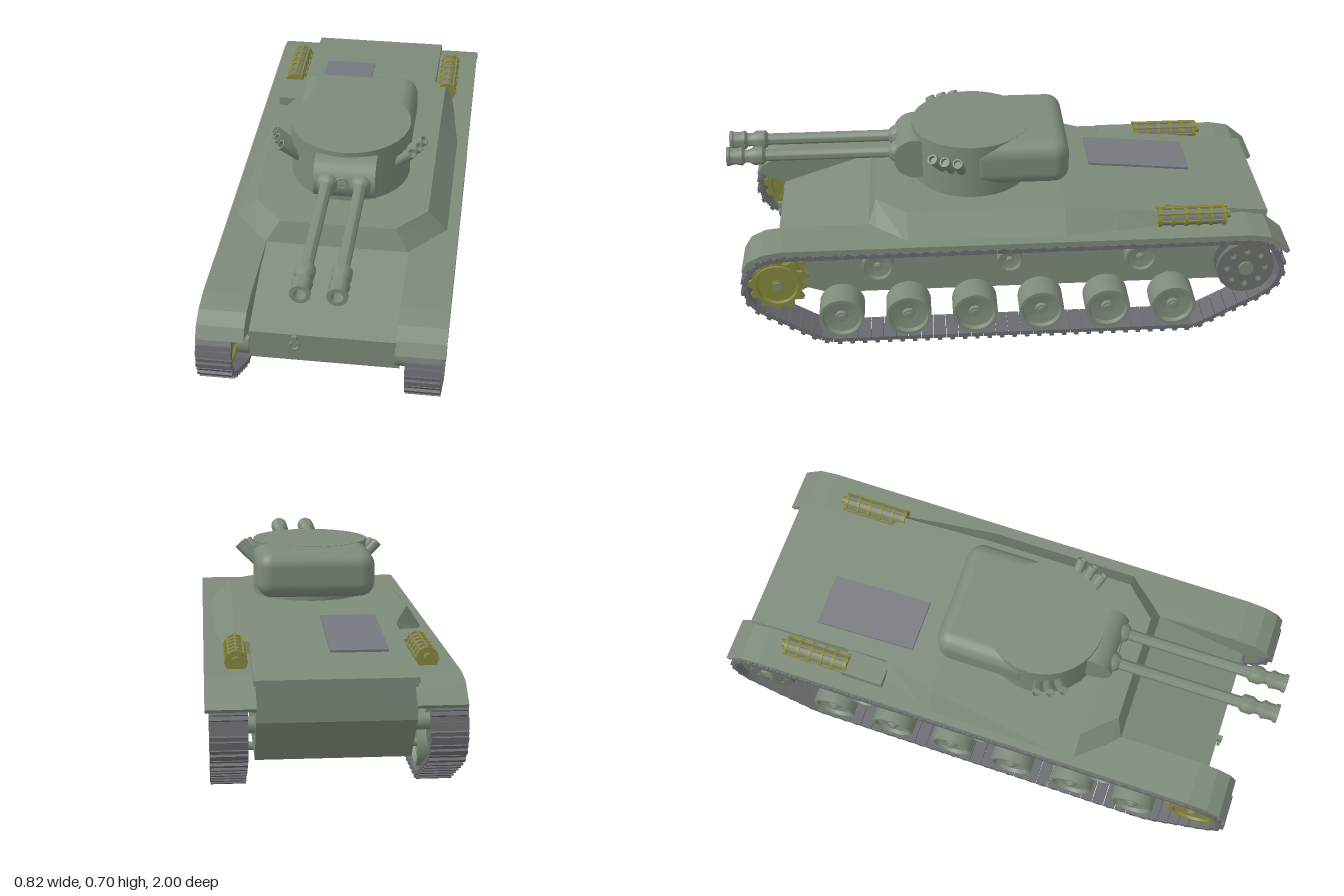
import * as THREE from 'three';
import { mergeGeometries, toCreasedNormals } from 'three/addons/utils/BufferGeometryUtils.js';
import { RoundedBoxGeometry } from 'three/addons/geometries/RoundedBoxGeometry.js';

const paint = (color, extra = {}) => new THREE.MeshStandardMaterial({ color, ...extra });
const green = paint(0x7d8b7a);
const greenFlat = paint(0x7d8b7a, { flatShading: true });
const steel = paint(0x696b70, { flatShading: true });
const panelGrey = paint(0x777980);
const olive = paint(0x85873f);
const idlerGrey = paint(0x6a716a);

function add(parent, name, geometry, material, x = 0, y = 0, z = 0) {
  const mesh = new THREE.Mesh(geometry, material);
  mesh.name = name;
  mesh.position.set(x, y, z);
  parent.add(mesh);
  return mesh;
}

// Lathe from [radius, height] pairs
const lathe = (pts, seg = 28) => toCreasedNormals(
  new THREE.LatheGeometry(pts.map(p => new THREE.Vector2(...p)), seg), 0.6);

// Side profile of [z, y] pairs, given a width across x
function sideExtrude(shape, width) {
  const s = Array.isArray(shape) ? new THREE.Shape(shape.map(p => new THREE.Vector2(...p))) : shape;
  return new THREE.ExtrudeGeometry(s, { depth: width, bevelEnabled: false, curveSegments: 10 })
    .translate(0, 0, -width / 2).rotateY(-Math.PI / 2);
}

// Skin over equal-sized rings of [x, y, z] corners, front to back, with end caps
function loft(rings) {
  const n = rings[0].length, idx = [];
  for (let r = 0; r < rings.length - 1; r++) {
    for (let i = 0; i < n; i++) {
      const a = r * n + i, b = r * n + (i + 1) % n;
      idx.push(a, a + n, b, b, a + n, b + n);
    }
  }
  const last = (rings.length - 1) * n;
  for (let i = 1; i < n - 1; i++) idx.push(0, i, i + 1, last, last + i + 1, last + i);
  const g = new THREE.BufferGeometry();
  g.setAttribute('position', new THREE.Float32BufferAttribute(rings.flat(2), 3));
  g.setIndex(idx);
  const flat = g.toNonIndexed();
  flat.computeVertexNormals();
  return flat;
}

// Drum wheel with raised rim and hub, outer face towards +y
const wheelGeometry = (r, w) => lathe([
  [0, -w * 0.6], [r * 0.78, -w * 0.75], [r * 0.84, -w], [r, -w], [r, w], [r * 0.86, w],
  [r * 0.8, w * 0.72], [r * 0.28, w * 0.6], [r * 0.25, w * 0.85], [0, w * 0.85]]);

function buildHull(tank) {
  const hull = new THREE.Group();
  hull.name = 'hull';
  tank.add(hull);
  add(hull, 'lowerHull', sideExtrude([[0.5, 0.42], [0.84, 0.305], [0.835, 0.19], [0.66, 0.13],
    [-0.82, 0.13], [-0.945, 0.29], [-0.945, 0.42]], 0.51), greenFlat);

  // Stations: z, top height, then bottom and top half widths for +x and for -x
  const stations = [
    [0.50, 0.42, 0.26, 0.25, 0.26, 0.25], [0.472, 0.495, 0.29, 0.2, 0.29, 0.2],
    [0.36, 0.5, 0.385, 0.305, 0.385, 0.305], [-0.2, 0.5, 0.385, 0.305, 0.385, 0.325],
    [-0.39, 0.481, 0.362, 0.305, 0.32, 0.262], [-0.4, 0.48, 0.36, 0.305, 0.262, 0.26],
    [-0.55, 0.466, 0.34, 0.305, 0.262, 0.26], [-0.57, 0.464, 0.262, 0.26, 0.262, 0.26],
    [-0.945, 0.428, 0.262, 0.26, 0.262, 0.26]];
  add(hull, 'superstructure', loft(stations.map(([z, y, rb, rt, lb, lt]) =>
    [[rb, 0.41, z], [rt, y, z], [-lt, y, z], [-lb, 0.41, z]])), greenFlat);
  add(hull, 'sideLocker', new THREE.BoxGeometry(0.09, 0.045, 0.16), green, -0.305, 0.435, -0.47);
  add(hull, 'engineCover', new THREE.BoxGeometry(0.195, 0.012, 0.38), panelGrey, -0.097, 0.472, -0.51)
    .rotation.x = -0.096;
  add(hull, 'towRing', new THREE.TorusGeometry(0.016, 0.005, 8, 18), green, -0.095, 0.268, 0.85);
  add(hull, 'towBracket', new THREE.BoxGeometry(0.016, 0.04, 0.025), green, -0.095, 0.288, 0.845);

  // Mudguards, their inner front walls and the exhausts
  const guard = [[0.945, 0.345], [0.92, 0.385], [0.87, 0.411], [0.8, 0.423], [-0.86, 0.423],
    [-0.93, 0.41], [-1, 0.352], [-0.99, 0.34], [-0.92, 0.392], [-0.855, 0.403],
    [0.8, 0.403], [0.865, 0.393], [0.91, 0.372], [0.93, 0.34]];
  const wall = [[0.5, 0.3], [0.84, 0.3], [0.94, 0.35], [0.92, 0.385], [0.87, 0.411], [0.8, 0.42], [0.5, 0.42]];
  for (const s of [-1, 1]) {
    add(hull, 'mudguard', sideExtrude(guard, 0.16), greenFlat, 0.004 + s * 0.33);
    add(hull, 'mudguardWall', sideExtrude(wall, 0.01), greenFlat, s * 0.255);
    const exhaust = new THREE.Group();
    exhaust.name = 'exhaust';
    exhaust.position.set(s * 0.31, 0.446, -0.655);
    hull.add(exhaust);
    add(exhaust, 'muffler', new THREE.CylinderGeometry(0.032, 0.032, 0.24, 16).rotateX(Math.PI / 2), panelGrey);
    add(exhaust, 'tailpipe', new THREE.CylinderGeometry(0.014, 0.014, 0.03, 12).rotateX(Math.PI / 2),
      olive, 0, 0.005, -0.125);
    for (let i = 0; i < 6; i++) {
      add(exhaust, 'guardBand', new THREE.CylinderGeometry(0.037, 0.037, 0.012, 16).rotateX(Math.PI / 2),
        olive, 0, 0, -0.115 + i * 0.046);
    }
    for (const a of [0, 0.8, 1.57, 2.34, Math.PI]) {
      add(exhaust, 'guardStrip', new THREE.BoxGeometry(0.007, 0.007, 0.25), olive,
        0.035 * Math.cos(a), 0.035 * Math.sin(a), 0);
    }
  }
}

function buildRunningGear(tank, s) {
  const side = new THREE.Group();
  side.name = s > 0 ? 'leftRunningGear' : 'rightRunningGear';
  side.position.x = -0.005 + s * 0.345;
  tank.add(side);
  const turn = -s * Math.PI / 2;
  const axle = (r, y, z, from, to) => add(side, 'axle',
    new THREE.CylinderGeometry(r, r, to - from, 14).rotateZ(Math.PI / 2), green, s * (from + to) / 2, y, z);

  // Track: links spaced around one closed path in (z, y)
  const path = new THREE.Path();
  path.moveTo(0.82, 0.38);
  path.lineTo(-0.86, 0.383);
  path.absarc(-0.86, 0.26, 0.123, Math.PI / 2, Math.PI + 1.03);
  path.lineTo(-0.68, 0.018);
  path.lineTo(0.67, 0.018);
  path.absarc(0.82, 0.255, 0.122, -1.02, Math.PI / 2);
  const count = 92, points = path.getSpacedPoints(count), links = [];
  for (let i = 0; i < count; i++) {
    const a = points[i], b = points[i + 1];
    const angle = Math.atan2(b.y - a.y, b.x - a.x);
    const place = g => links.push(g.rotateX(-angle).translate(0, (a.y + b.y) / 2, (a.x + b.x) / 2));
    place(new THREE.BoxGeometry(0.12, 0.016, a.distanceTo(b) * 0.96));
    // The path runs with its outside on the lower side
    place(new THREE.BoxGeometry(0.118, 0.011, 0.016).translate(0, -0.0125, 0));
  }
  add(side, 'track', mergeGeometries(links), steel);

  // Road wheels
  for (let i = 0; i < 6; i++) {
    const z = 0.61 - i * 0.242;
    add(side, 'roadWheel', wheelGeometry(0.082, 0.052), green, 0, 0.108, z).rotation.z = turn;
    axle(0.014, 0.108, z, -0.1, 0.052);
  }
  // Return rollers
  for (const [z, r, y] of [[0.47, 0.056, 0.318], [0, 0.045, 0.326], [-0.47, 0.056, 0.318]]) {
    add(side, 'returnRoller', wheelGeometry(r, 0.042), green, 0, y, z).rotation.z = turn;
    axle(0.012, y, z, -0.1, 0.042);
  }

  // Drive sprocket with toothed rings
  add(side, 'sprocket', wheelGeometry(0.085, 0.046), olive, 0, 0.257, 0.83).rotation.z = turn;
  const teeth = [];
  for (let i = 0; i < 48; i++) {
    const r = i % 4 < 2 ? 0.108 : 0.09, a = i / 48 * Math.PI * 2;
    teeth.push([r * Math.cos(a), r * Math.sin(a)]);
  }
  for (const x of [-0.03, 0.03]) add(side, 'sprocketTeeth', sideExtrude(teeth, 0.012), olive, x, 0.257, 0.83);
  axle(0.055, 0.245, 0.8, -0.1, -0.06);
  axle(0.016, 0.257, 0.83, -0.08, 0.046);

  // Idler discs with eight lightening holes
  const disc = new THREE.Shape().absarc(0, 0, 0.105, 0, Math.PI * 2);
  for (let i = 0; i < 8; i++) {
    const a = i / 8 * Math.PI * 2;
    disc.holes.push(new THREE.Path().absarc(0.07 * Math.cos(a), 0.07 * Math.sin(a), 0.012, 0, Math.PI * 2, true));
  }
  for (const x of [-0.03, 0.03]) add(side, 'idlerDisc', sideExtrude(disc, 0.02), idlerGrey, x, 0.26, -0.855);
  axle(0.028, 0.26, -0.855, -0.1, 0.048);
}

function buildTurret(tank) {
  const turret = new THREE.Group();
  turret.name = 'turret';
  turret.position.x = 0.004;
  tank.add(turret);
  add(turret, 'turretDrum', new THREE.CylinderGeometry(0.214, 0.214, 0.205, 32), green, 0, 0.5995, 0.12);
  add(turret, 'bustle', new RoundedBoxGeometry(0.428, 0.168, 0.365, 5, 0.055), green, 0, 0.617, -0.0425);
  add(turret, 'mantlet', new THREE.CylinderGeometry(0.077, 0.077, 0.215, 28).rotateZ(Math.PI / 2),
    green, 0.009, 0.607, 0.325);
  add(turret, 'mantletEye', new THREE.TorusGeometry(0.02, 0.004, 8, 16), green, 0.001, 0.62, 0.4);
  add(turret, 'coaxialPort', new THREE.CylinderGeometry(0.016, 0.016, 0.05, 12).rotateX(Math.PI / 2),
    green, -0.06, 0.578, 0.38);

  // Twin guns with hollow double-bulge muzzle brakes
  const barrel = lathe([[0, 0.33], [0.037, 0.33], [0.037, 0.4], [0.028, 0.415], [0.021, 0.42], [0.021, 0.86],
    [0.033, 0.872], [0.033, 0.905], [0.024, 0.92], [0.024, 0.935], [0.034, 0.945], [0.03, 0.965],
    [0.03, 0.985], [0.034, 0.99], [0.034, 1], [0.02, 1], [0.02, 0.93], [0, 0.93]], 24).rotateX(Math.PI / 2);
  for (const x of [-0.05, 0.067]) add(turret, 'gunBarrel', barrel, green, x, 0.615, 0);

  // Triple smoke launchers fanned around each cheek
  const up = new THREE.Vector3(0, 1, 0);
  const tube = lathe([[0, -0.05], [0.018, -0.05], [0.018, 0.05], [0.013, 0.05], [0.013, 0.03], [0, 0.03]], 16);
  for (const s of [-1, 1]) {
    for (const deg of [12, 22, 32]) {
      const a = deg * Math.PI / 180;
      const out = new THREE.Vector3(s * Math.cos(a), 0, Math.sin(a));
      const dir = out.clone().multiplyScalar(0.75).addScaledVector(up, 0.72).normalize();
      const launcher = add(turret, 'smokeLauncher', tube, green);
      launcher.position.set(0, 0.607, 0.12).addScaledVector(out, 0.205).addScaledVector(dir, 0.045);
      launcher.quaternion.setFromUnitVectors(up, dir);
    }
  }
}

export function createModel() {
  const tank = new THREE.Group();
  tank.name = 'tank';
  buildHull(tank);
  for (const s of [-1, 1]) buildRunningGear(tank, s);
  buildTurret(tank);
  return tank;
}
